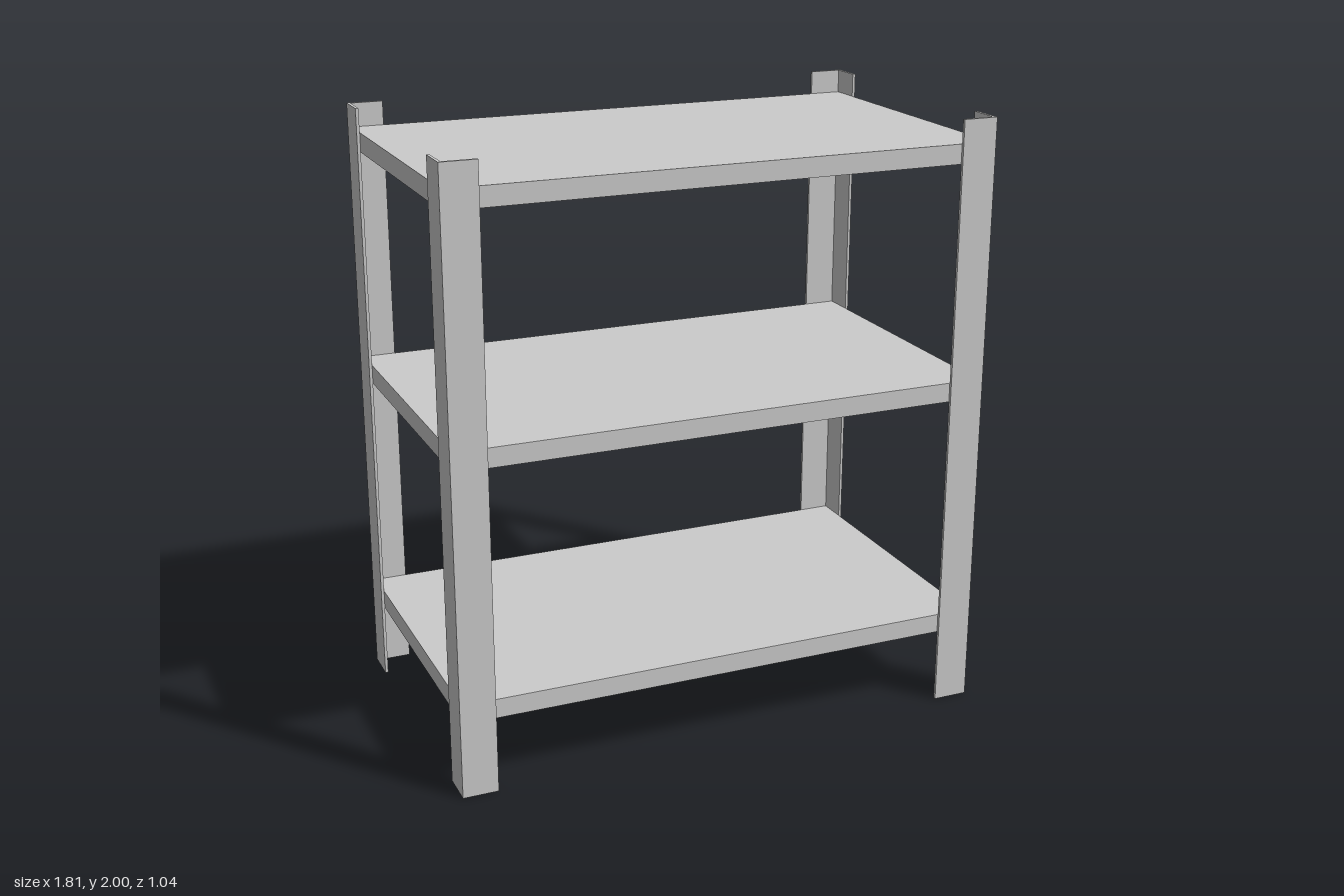
import * as THREE from 'three';

const HEIGHT = 2, HALF_W = 0.903, HALF_D = 0.522;
const FLANGE = 0.117, SHEET = 0.01;
const SHELF_THICKNESS = 0.064, SHELF_BOTTOMS = [0.25, 1.075, 1.858];

const material = new THREE.MeshStandardMaterial({ color: 0xcccccc, flatShading: true });

// L-section post for one corner, extruded upwards
function createPost(sx, sz) {
  const profile = [
    [0, 0], [FLANGE, 0], [FLANGE, SHEET], [SHEET, SHEET], [SHEET, FLANGE], [0, FLANGE],
  ].map(([u, v]) => new THREE.Vector2(sx * (HALF_W - u), -sz * (HALF_D - v)));
  const geometry = new THREE.ExtrudeGeometry(new THREE.Shape(profile), {
    depth: HEIGHT, bevelEnabled: false,
  });
  geometry.rotateX(-Math.PI / 2);
  return new THREE.Mesh(geometry, material);
}

export function createModel() {
  const group = new THREE.Group();
  group.name = 'shelvingUnit';

  // Four corner posts
  for (const sx of [-1, 1]) {
    for (const sz of [-1, 1]) {
      const post = createPost(sx, sz);
      post.name = (sz > 0 ? 'front' : 'back') + (sx > 0 ? 'Left' : 'Right') + 'Post';
      group.add(post);
    }
  }

  // Shelves fitted inside the angle posts
  const shelfGeometry = new THREE.BoxGeometry(
    2 * (HALF_W - SHEET), SHELF_THICKNESS, 2 * (HALF_D - SHEET));
  SHELF_BOTTOMS.forEach((y, i) => {
    const shelf = new THREE.Mesh(shelfGeometry, material);
    shelf.name = ['lower', 'middle', 'upper'][i] + 'Shelf';
    shelf.position.y = y + SHELF_THICKNESS / 2;
    group.add(shelf);
  });

  return group;
}
